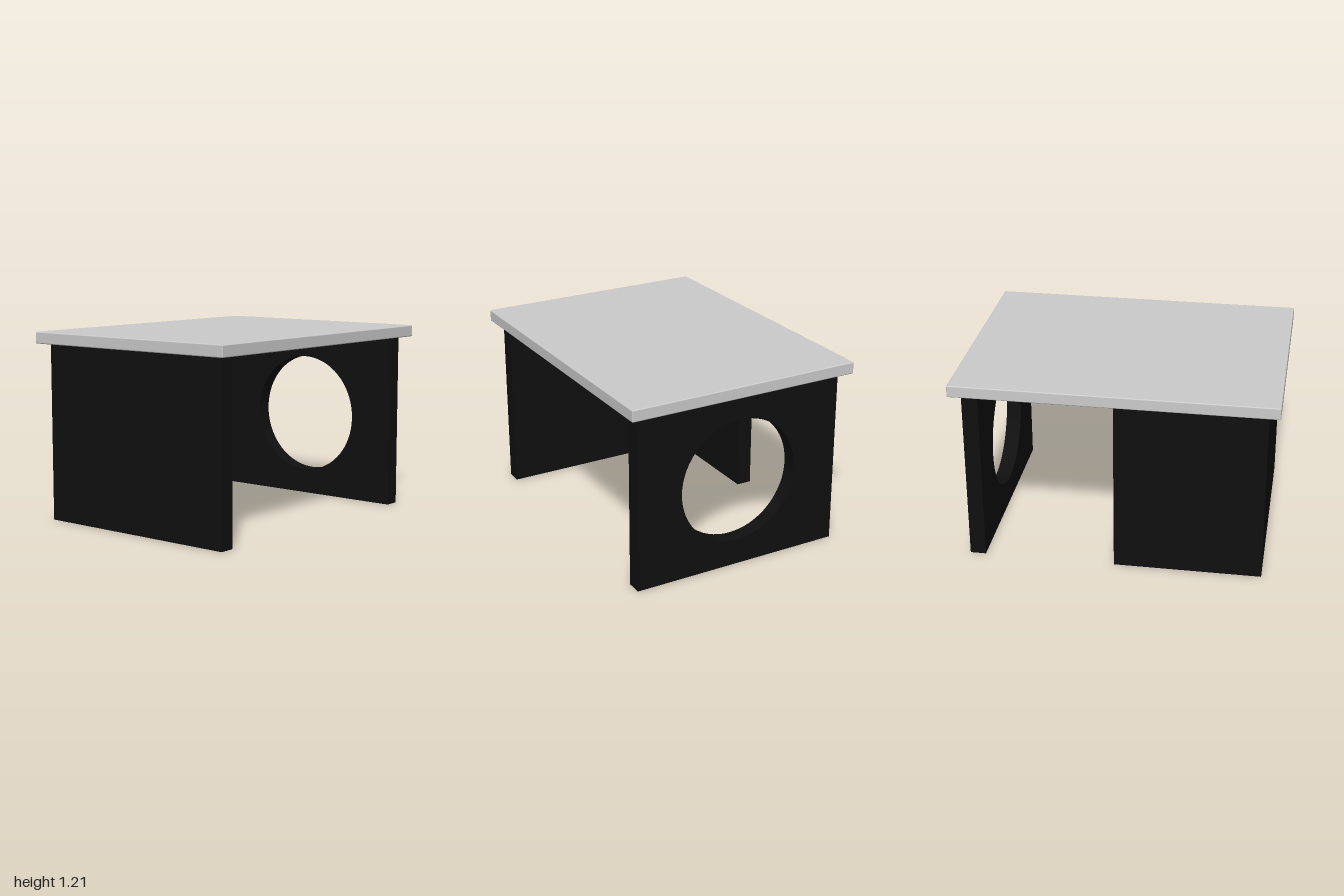
import * as THREE from 'three';
import { RoundedBoxGeometry } from 'three/addons/geometries/RoundedBoxGeometry.js';

const TOP = 1.21, UNDER = 1.135, THICK = 0.1, HALF_X = 0.93, HALF_Z = 0.7;

export function createModel() {
  const desk = new THREE.Group();
  desk.name = 'desk';
  const grey = new THREE.MeshStandardMaterial({ color: 0xcccccc });
  const black = new THREE.MeshStandardMaterial({ color: 0x101010 });

  function add(name, geometry, material, x, y, z) {
    const mesh = new THREE.Mesh(geometry, material);
    mesh.name = name;
    mesh.position.set(x, y, z);
    desk.add(mesh);
    return mesh;
  }

  // Overhanging slab with finely eased edges
  add('deskTop', new RoundedBoxGeometry(2, TOP - UNDER, 1.53, 2, 0.007), grey,
    0, (TOP + UNDER) / 2, 0);

  // Solid side panel
  add('solidSidePanel', new THREE.BoxGeometry(THICK, UNDER, HALF_Z * 2), black,
    -HALF_X + THICK / 2, UNDER / 2, 0);

  // Back panel covering half the width, butted against the solid side
  const backWidth = HALF_X - THICK;
  add('backPanel', new THREE.BoxGeometry(backWidth, UNDER, THICK), black,
    -backWidth / 2, UNDER / 2, -HALF_Z + THICK / 2);

  // Side panel with a large round opening, extruded through its thickness
  const outline = new THREE.Shape();
  outline.moveTo(-HALF_Z, 0).lineTo(HALF_Z, 0).lineTo(HALF_Z, UNDER).lineTo(-HALF_Z, UNDER).closePath();
  const opening = new THREE.Path();
  opening.absarc(0, UNDER / 2, 0.4, 0, Math.PI * 2, true);
  outline.holes.push(opening);
  const panel = new THREE.ExtrudeGeometry(outline, { depth: THICK, bevelEnabled: false, curveSegments: 32 });
  add('openSidePanel', panel, black, HALF_X - THICK, 0, 0).rotation.y = Math.PI / 2;

  return desk;
}
